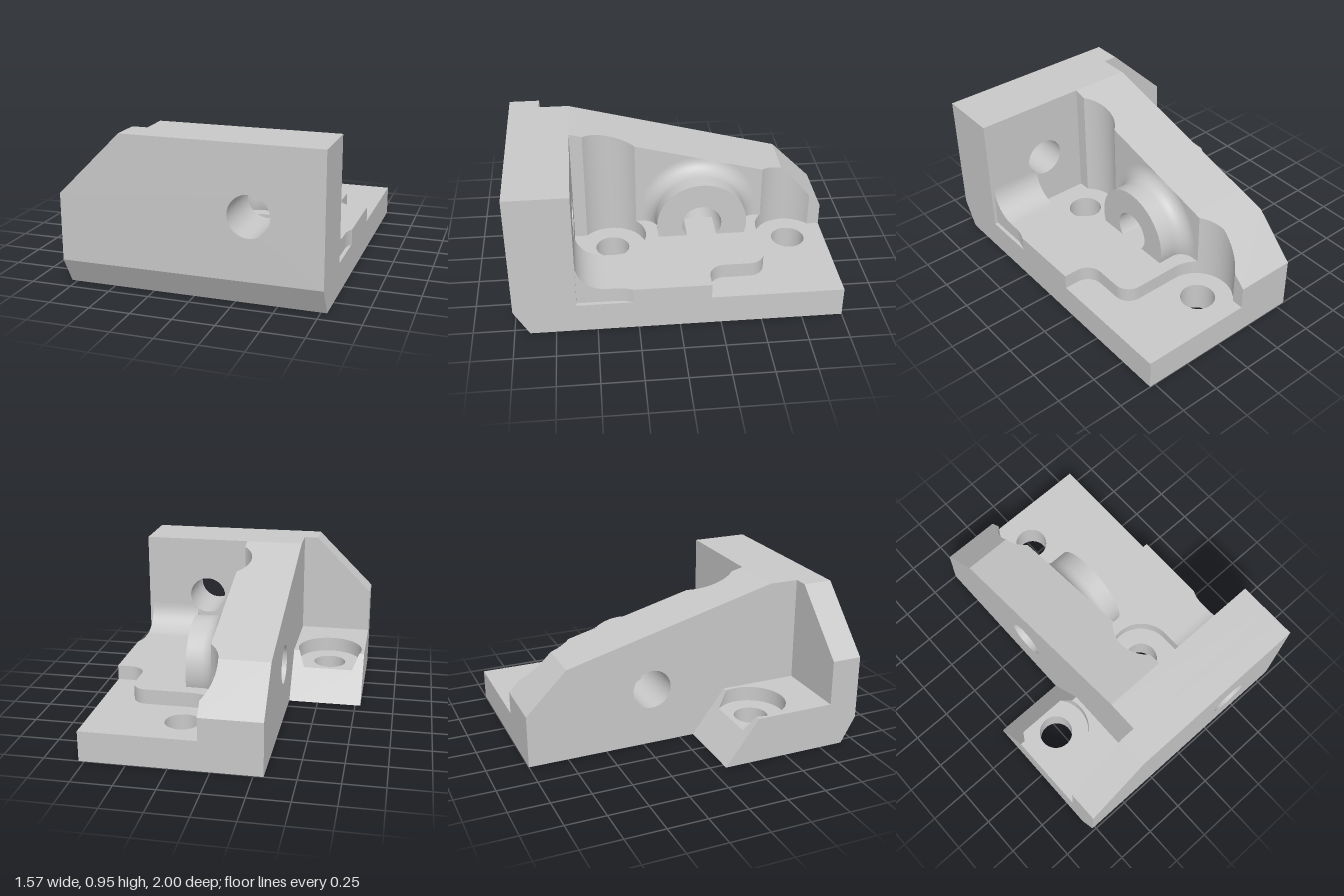
import * as THREE from 'three';
import { toCreasedNormals } from 'three/addons/utils/BufferGeometryUtils.js';

const BOLT_X = 0.214, FRONT_Z = 0.379, BACK_Z = -0.763; // bolt positions on the base
const HEAD_R = 0.215, BOLT_R = 0.106;                   // bolt head pocket and bolt hole
const RIB_X = 0.072, FLOOR = 0.191, STEP = 0.286, TOP = 0.953;
const EDGE = Math.acos((BOLT_X - RIB_X) / HEAD_R);      // where a pocket meets the rib face
const PI = Math.PI;

// Height of the sloping rib top at depth z
const ribTop = (z) => z < -0.74 ? 0.595 + (z + 0.74) : 0.595 + (z + 0.74) * (TOP - 0.595) / 1.36;

// Points on an arc
function arc(cx, cy, r, a0, a1, n = 20) {
  return Array.from({ length: n + 1 }, (_, i) => {
    const a = a0 + (a1 - a0) * i / n;
    return [cx + r * Math.cos(a), cy + r * Math.sin(a)];
  });
}

// Extrude an outline with round holes [x, y, r]
function slab(points, holes, depth) {
  const outline = points.map(([x, y]) => new THREE.Vector2(x, y));
  if (THREE.ShapeUtils.isClockWise(outline)) outline.reverse();
  const shape = new THREE.Shape(outline);
  for (const [x, y, r] of holes) shape.holes.push(new THREE.Path().absarc(x, y, r, 0, PI * 2, true));
  return new THREE.ExtrudeGeometry(shape, { depth, bevelEnabled: false, curveSegments: 32 });
}

// Plan outline in (x, z), raised from y0 to y1
function plan(points, holes, y0, y1) {
  const flip = ([x, z, r]) => [x, -z, r];
  return slab(points.map(flip), holes.map(flip), y1 - y0).rotateX(-PI / 2).translate(0, y0, 0);
}

// Side outline in (z, y), extruded from x0 to x1
function side(points, holes, x0, x1) {
  const flip = ([z, y, r]) => [-z, y, r];
  return slab(points.map(flip), holes.map(flip), x1 - x0).rotateY(PI / 2).translate(x0, 0, 0);
}

// Move every vertex by a rule
function reshape(geometry, rule) {
  const p = geometry.attributes.position, v = new THREE.Vector3();
  for (let i = 0; i < p.count; i++) {
    rule(v.fromBufferAttribute(p, i));
    p.setXYZ(i, v.x, v.y, v.z);
  }
  return geometry;
}

export function createModel() {
  const group = new THREE.Group();
  const grey = new THREE.MeshStandardMaterial({ color: 0xc8c8c8 });
  grey.name = 'plain grey';
  const add = (name, geometry) => {
    geometry.computeVertexNormals();
    const mesh = new THREE.Mesh(toCreasedNormals(geometry, 0.3), grey);
    mesh.name = name;
    group.add(mesh);
  };

  // Base plate with two bolt holes
  add('basePlate', plan([[-0.31, -1], [0.785, -1], [0.785, 0.62], [-0.31, 0.62]],
    [[BOLT_X, FRONT_Z, BOLT_R], [BOLT_X, BACK_Z, BOLT_R]], 0, FLOOR));

  // Raised step, cut away around the bolt heads
  const stepLeft = BOLT_X + HEAD_R, stepRight = 0.762;
  add('raisedStep', plan([
    ...arc(BOLT_X, FRONT_Z, HEAD_R, PI + EDGE, PI * 2),
    [stepLeft, 0.62], [stepRight, 0.62],
    ...arc(stepRight + HEAD_R, FRONT_Z, HEAD_R, PI, PI + 0.467, 8),
    [0.785, -0.19],
    ...arc(0.695, -0.29, 0.1, PI / 2, PI, 10),
    ...arc(0.495, -0.448, 0.1, 0, -PI / 2, 10),
    ...arc(BOLT_X, BACK_Z, HEAD_R, PI / 2, PI - EDGE, 10),
  ], [], FLOOR, STEP));

  // Concave fillet between step and front wall, trimmed beside the wall hole
  const filletProfile = [[0.62, STEP], ...arc(0.44, STEP + 0.18, 0.18, -PI / 2, 0, 14)];
  add('stepFillet', side(filletProfile, [], 0.452, stepRight));
  add('stepFilletEnd', reshape(side(filletProfile, [], stepLeft, 0.452),
    (v) => { if (v.x < 0.44) v.y = Math.min(v.y, 0.442); }));

  // Sloping rib, with pockets bitten out of its face
  const ribPiece = (z0, z1, face) => reshape(
    plan([[-0.31, z0], ...face, [-0.31, z1]], [], FLOOR, 1),
    (v) => { if (v.y > 0.9) v.y = ribTop(v.z); });
  const split = Math.asin((-0.74 - BACK_Z) / HEAD_R);
  add('ribBackEnd', ribPiece(-1, -0.74,
    [[RIB_X, -1], ...arc(BOLT_X, BACK_Z, HEAD_R, PI + EDGE, PI - split, 12)]));
  add('ribBack', ribPiece(-0.74, -0.57,
    [...arc(BOLT_X, BACK_Z, HEAD_R, PI - split, PI - EDGE, 10), [RIB_X, -0.57]]));
  add('ribMiddle', side(
    [[-0.57, FLOOR], [0.19, FLOOR], [0.19, ribTop(0.19)], [-0.57, ribTop(-0.57)]],
    [[-0.19, 0.37, 0.125]], -0.31, RIB_X));
  add('ribFront', ribPiece(0.19, 0.62,
    [[RIB_X, 0.19], ...arc(BOLT_X, FRONT_Z, HEAD_R, PI + EDGE, PI - EDGE), [RIB_X, 0.62]]));

  // Flared boss around the cross hole, trimmed by the rib slope
  const profile = [];
  for (let i = 0; i <= 12; i++) {
    const t = i / 12 * PI / 2;
    profile.push(new THREE.Vector2(0.375 - 0.09 * Math.sin(t), RIB_X + 0.09 - 0.09 * Math.cos(t)));
  }
  for (const [r, x] of [[0.285, 0.263], [0.125, 0.263], [0.125, RIB_X]]) profile.push(new THREE.Vector2(r, x));
  add('boss', reshape(
    new THREE.LatheGeometry(profile, 72).rotateZ(-PI / 2).translate(0, 0.37, -0.19),
    (v) => { v.y = Math.max(0.1, Math.min(v.y, ribTop(v.z))); }));

  // Front wall: inner layer, full-width layer and chamfered face
  const wallHole = [[0.356, 0.544, 0.125]];
  const wallOutline = (bottom) => [[-0.785, bottom], [0.785, bottom], [0.785, TOP], [-0.403, TOP], [-0.785, 0.573]];
  add('wallInner', slab([[-0.31, 0], [0.785, 0], [0.785, TOP], [-0.31, TOP]], wallHole, 0.19).translate(0, 0, 0.62));
  add('wallMiddle', slab(wallOutline(0), wallHole, 0.097).translate(0, 0, 0.81));
  add('wallFace', reshape(slab(wallOutline(0.165), wallHole, 0.093).translate(0, 0, 0.907),
    (v) => { if (v.z < 0.95 && v.y < 0.17) v.y = 0; }));

  // Side tab with a sloped back end and a bolt head pocket
  const tabX = -0.55, slopeMid = 0.237, slopeTop = 0.308;
  add('tabSlope', side([[0.093, 0], [slopeMid, 0], [slopeMid, FLOOR]], [], -0.785, -0.31));
  add('tabLower', plan([[-0.785, slopeMid], [-0.31, slopeMid], [-0.31, 0.81], [-0.785, 0.81]],
    [[tabX, FRONT_Z, BOLT_R]], 0, FLOOR));
  const open = Math.asin((FRONT_Z - slopeMid) / HEAD_R);
  const topHalf = Math.sqrt(HEAD_R ** 2 - (FRONT_Z - slopeTop) ** 2);
  add('tabUpper', reshape(
    plan([[-0.785, slopeMid], ...arc(tabX, FRONT_Z, HEAD_R, PI + open, -open, 40),
      [-0.31, slopeMid], [-0.31, 0.81], [-0.785, 0.81]], [], FLOOR, STEP),
    (v) => {
      if (v.y < 0.25 || v.z >= slopeTop) return;
      v.z = slopeTop;
      if (Math.abs(v.x - tabX) < 0.22) v.x = tabX + Math.sign(v.x - tabX) * topHalf;
    }));

  return group;
}
